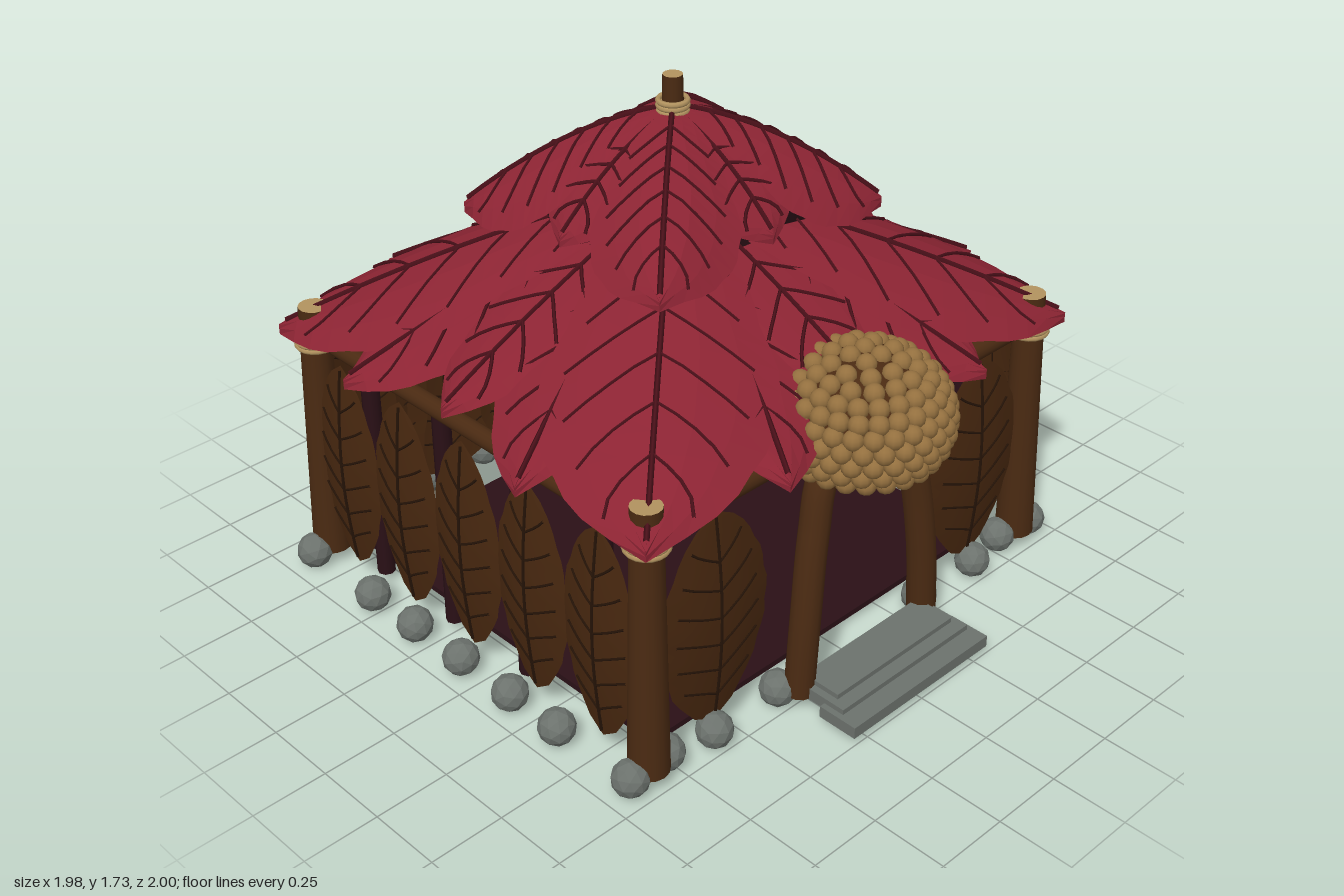
import * as THREE from 'three';
import { mergeGeometries } from 'three/addons/utils/BufferGeometryUtils.js';

const mat = (name, color, opts = {}) => {
  const m = new THREE.MeshStandardMaterial({ color, ...opts });
  m.name = name;
  return m;
};
const V = (x, y, z) => new THREE.Vector3(x, y, z);

export function createModel() {
  const crimson = mat('crimson leaf', 0x8c2433, { side: THREE.DoubleSide, flatShading: true });
  const vein = mat('dark red vein', 0x4a1019);
  const wood = mat('wood', 0x4a2a12);
  const brownLeaf = mat('brown leaf', 0x47270f, { side: THREE.DoubleSide });
  const brownVein = mat('dark brown vein', 0x261407);
  const cutWood = mat('cut wood and rope', 0xb2935f);
  const seed = mat('seed', 0x94703f);
  const stone = mat('stone', 0x6c726d, { flatShading: true });
  const dark = mat('dark maroon', 0x2a1016);

  const model = new THREE.Group();
  const hut = new THREE.Group();
  hut.name = 'hut';
  hut.position.z = -0.085;
  model.add(hut);

  const add = (parent, name, geo, material, x = 0, y = 0, z = 0) => {
    const m = new THREE.Mesh(geo, material);
    m.name = name;
    m.position.set(x, y, z);
    parent.add(m);
    return m;
  };

  // Round pole between two points, with pale cut ends
  const pole = (parent, name, a, b, ra, rb = ra) => {
    const d = b.clone().sub(a);
    const m = add(parent, name, new THREE.CylinderGeometry(rb, ra, d.length(), 14), [wood, cutWood, cutWood]);
    m.position.copy(a).add(b).multiplyScalar(0.5);
    m.quaternion.setFromUnitVectors(V(0, 1, 0), d.normalize());
    return m;
  };

  const rope = (parent, x, y, z, r, n) => {
    for (let i = 0; i < n; i++) {
      const t = add(parent, 'ropeBinding', new THREE.TorusGeometry(r, 0.009, 6, 18), cutWood, x, y + i * 0.016, z);
      t.rotation.x = Math.PI / 2;
    }
  };

  // Leaf blade and veins from a surface P(t along, s across)
  const leaf = (parent, name, P, bladeMat, veinMat, lift, pairs, r, slant) => {
    const nT = 18, nS = 6, pos = [], idx = [];
    for (let i = 0; i <= nT; i++) for (let j = 0; j <= nS; j++) {
      pos.push(...P(i / nT, (j / nS) * 2 - 1).toArray());
      if (i < nT && j < nS) {
        const a = i * (nS + 1) + j, b = a + nS + 1;
        idx.push(a, b, a + 1, a + 1, b, b + 1);
      }
    }
    const geo = new THREE.BufferGeometry();
    geo.setAttribute('position', new THREE.Float32BufferAttribute(pos, 3));
    geo.setIndex(idx);
    geo.computeVertexNormals();
    const g = new THREE.Group();
    g.name = name;
    parent.add(g);
    add(g, 'blade', geo, bladeMat);
    const line = (t0, s0, t1, s1, rad, n) => {
      const pts = [];
      for (let k = 0; k <= n; k++) {
        const u = k / n;
        pts.push(P(t0 + (t1 - t0) * u, s0 + (s1 - s0) * u).add(lift));
      }
      return new THREE.TubeGeometry(new THREE.CatmullRomCurve3(pts), n, rad, 4);
    };
    const lines = [line(0.03, 0, 0.98, 0, r, 12)];
    for (let k = 0; k < pairs; k++) {
      const t = 0.14 + 0.64 * k / (pairs - 1);
      for (const s of [-0.78, 0.78]) lines.push(line(t, 0, t + slant, s, r * 0.65, 4));
    }
    add(g, 'veins', mergeGeometries(lines), veinMat);
    return g;
  };

  // Roof tiers: leaves radiate from the top and lie on a rounded hip shape
  const roof = new THREE.Group();
  roof.name = 'roof';
  roof.scale.z = 0.92;
  hut.add(roof);
  const roofLeaf = (name, tx, tz, W, height, p, offset) => {
    const len = Math.hypot(tx, tz), cx = tx / len, cz = tz / len;
    const P = (t, s) => {
      const w = W * Math.min(1, 0.3 + 1.3 * t) * (1 - t ** 6) * (1 + 0.05 * Math.abs(Math.sin(t * 16)));
      const r = 0.02 + (len - 0.02) * t, l = s * w;
      const x = cx * r - cz * l, z = cz * r + cx * l;
      const d = (Math.abs(x) ** p + Math.abs(z) ** p) ** (1 / p);
      return V(x, height(d) + offset - 0.035 * s * s * t, z);
    };
    leaf(roof, name, P, crimson, vein, V(0, 0.004, 0), 6, 0.009, 0.13);
  };
  const lower = d => 1.35 - 0.3 * d - 0.13 * d * d;
  const upper = d => 1.615 - 0.2 * d - 0.8 * d * d;
  for (let k = 0; k < 4; k++) {
    const c = Math.round(Math.cos(k * Math.PI / 2)), s = Math.round(Math.sin(k * Math.PI / 2));
    const at = (x, z) => [x * c - z * s, x * s + z * c];
    for (const z of [-0.43, 0.43]) roofLeaf('lowerRoofLeaf', ...at(0.99, z), 0.25, lower, 4, 0);
    roofLeaf('lowerRoofMidLeaf', ...at(0.93, 0), 0.22, lower, 4, 0.012);
    roofLeaf('lowerRoofCornerLeaf', ...at(0.915, 0.915), 0.36, lower, 4, 0.026);
    roofLeaf('upperRoofMidLeaf', ...at(0.46, 0), 0.21, upper, 8, 0);
    roofLeaf('upperRoofCornerLeaf', ...at(0.47, 0.47), 0.23, upper, 8, 0.014);
  }

  // Dark collar between the tiers, and the finial
  const collar = new THREE.CylinderGeometry(0.27 * Math.SQRT2, 0.295 * Math.SQRT2, 0.18, 4);
  collar.rotateY(Math.PI / 4);
  add(hut, 'roofCollar', collar, dark, 0, 1.29, 0);
  pole(hut, 'finial', V(0, 1.5, 0), V(0, 1.73, 0), 0.036, 0.031);
  rope(hut, 0, 1.615, 0, 0.045, 3);

  // Corner posts, rafters and beams
  const X = 0.835, Z = 0.76;
  for (const sx of [-1, 1]) for (const sz of [-1, 1]) {
    pole(hut, 'cornerPost', V(sx * 0.848, 0.055, sz * 0.77), V(sx * X, 0.965, sz * Z), 0.064, 0.048);
    rope(hut, sx * X, 0.832, sz * Z, 0.062, 3);
    pole(hut, 'lowerRafter', V(sx * 0.8, 0.89, sz * 0.73), V(sx * 0.2, 1.21, sz * 0.18), 0.025);
    pole(hut, 'upperRafter', V(sx * 0.42, 1.315, sz * 0.39), V(sx * 0.05, 1.53, sz * 0.05), 0.022);
  }
  for (const s of [-1, 1]) {
    pole(hut, 'crossBeam', V(-X, 0.865, s * Z), V(X, 0.865, s * Z), 0.034);
    pole(hut, 'sideBeam', V(s * X, 0.862, -Z), V(s * X, 0.862, Z), 0.03);
  }

  // Wall leaves: outward face is +z before turning
  const wallLeaf = (name, x, z, turn, W, y0, y1, power, veinSide = 1) => {
    const P = (t, s) => {
      const w = W * Math.sin(Math.PI * Math.min(1, Math.max(0, t))) ** power * (1 + 0.025 * Math.sin(t * 38));
      return V(s * w, y0 + (y1 - y0) * t, 0.03 * (1 - s * s) * Math.sin(Math.PI * t));
    };
    const g = leaf(hut, name, P, brownLeaf, brownVein, V(0, 0, 0.003 * veinSide), 6, 0.006, 0.09);
    g.position.set(x, 0, z);
    g.rotation.y = turn;
  };
  for (const s of [-1, 1]) {
    for (let i = -2; i <= 2; i++) wallLeaf('sideWallLeaf', s * 0.865, i * 0.297, s * Math.PI / 2, 0.158, 0.08, 0.83, 0.6);
    wallLeaf('frontWallLeaf', s * 0.585, 0.77, 0, 0.215, 0.08, 0.83, 0.6);
    for (let i = 0; i < 4; i++) {
      add(hut, 'innerStake', new THREE.CylinderGeometry(0.03, 0.03, 0.81, 8), dark, s * 0.8, 0.445, 0.54 - i * 0.36);
    }
  }
  for (let i = -2; i <= 2; i++) {
    wallLeaf('backWallLeaf', i * 0.32, -0.77 - 0.006 * (i & 1), Math.PI, 0.22, 0.09, 0.84, 0.33, -1);
  }

  // Floor
  add(hut, 'floor', new THREE.BoxGeometry(1.5, 0.02, 1.37), dark, 0, 0.038, 0);

  // Stones around the base
  let n = 0;
  const pebble = (x, z) => {
    const m = add(hut, 'baseStone', new THREE.IcosahedronGeometry(0.06, 1), stone, x, 0.062, z);
    m.rotation.set(n * 1.3, n * 2.1, n * 0.7);
    n++;
  };
  for (const s of [-1, 1]) {
    for (const z of [0.455, 0.24, 0.005, -0.225, -0.445]) pebble(s * 0.925, z);
    for (const x of [0.13, 0.38, 0.6]) pebble(s * x, -0.855);
    for (const x of [0.33, 0.6]) pebble(s * x, 0.79);
    for (const z of [-0.77, 0.77]) pebble(s * 0.92, z);
    pebble(s * 0.77, -0.84);
    pebble(s * 0.77, 0.76);
  }

  // Entrance steps
  [[0.62, 0.05, 0.93], [0.58, 0.068, 0.865], [0.53, 0.085, 0.82]].forEach(([w, y, z]) =>
    add(model, 'entranceStep', new THREE.BoxGeometry(w, 0.04, 0.14), stone, 0, y, z));

  // Curved door posts
  for (const s of [-1, 1]) {
    const path = new THREE.CatmullRomCurve3([
      V(s * 0.285, 0.05, 0.752), V(s * 0.265, 0.32, 0.75), V(s * 0.225, 0.6, 0.735),
      V(s * 0.17, 0.78, 0.72), V(0, 0.88, 0.71)]);
    add(model, 'doorPost', new THREE.TubeGeometry(path, 24, 0.048, 12), wood);
    const cap = add(model, 'doorPostEnd', new THREE.CircleGeometry(0.048, 12), cutWood, s * 0.285, 0.05, 0.752);
    cap.rotation.x = Math.PI / 2;
  }

  // Seed cluster over the door
  const cluster = new THREE.Group();
  cluster.name = 'seedCluster';
  cluster.position.set(0, 0.9, 0.71);
  model.add(cluster);
  add(cluster, 'core', new THREE.SphereGeometry(1, 28, 20), wood).scale.set(0.25, 0.2, 0.25);
  const bead = new THREE.SphereGeometry(0.032, 10, 8);
  [[-30, 24], [-18, 26], [-6, 26], [6, 26], [18, 26], [30, 24], [42, 20], [54, 14], [66, 9], [80, 4]].forEach(([deg, count], row) => {
    const a = deg * Math.PI / 180;
    for (let k = 0; k < count; k++) {
      const b = (k + (row % 2) / 2) / count * Math.PI * 2;
      const r = 0.254 * Math.cos(a);
      add(cluster, 'seed', bead, seed, r * Math.sin(b), 0.2 * Math.sin(a), r * Math.cos(b));
    }
  });

  return model;
}
